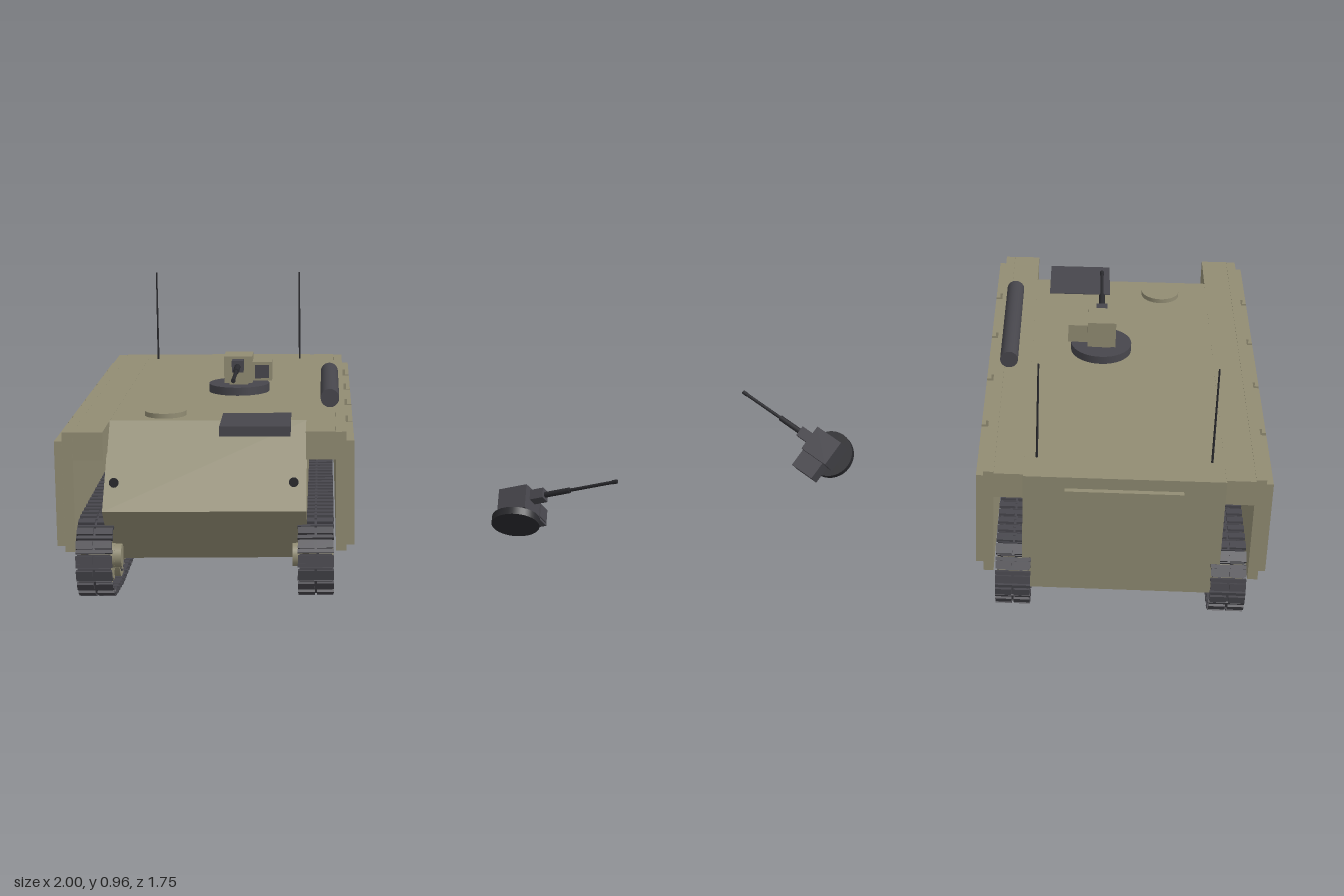
import * as THREE from 'three';
import { mergeGeometries } from 'three/addons/utils/BufferGeometryUtils.js';

const material = (name, color) => {
  const m = new THREE.MeshStandardMaterial({ color });
  m.name = name;
  return m;
};

export function createModel() {
  const tan = material('khaki paint', 0x918c73);
  const steel = material('dark steel', 0x47464c);
  const black = material('black metal', 0x2a2a2e);

  const add = (parent, name, geo, mat, x = 0, y = 0, z = 0) => {
    const mesh = new THREE.Mesh(geo, mat);
    mesh.name = name;
    mesh.position.set(x, y, z);
    parent.add(mesh);
    return mesh;
  };
  const group = (parent, name, x = 0, y = 0, z = 0) => {
    const g = new THREE.Group();
    g.name = name;
    g.position.set(x, y, z);
    parent.add(g);
    return g;
  };
  const box = (w, h, d) => new THREE.BoxGeometry(w, h, d);
  const cylX = (r, w, n = 28) => new THREE.CylinderGeometry(r, r, w, n).rotateZ(Math.PI / 2);
  const cylZ = (r, l, n = 14) => new THREE.CylinderGeometry(r, r, l, n).rotateX(Math.PI / 2);
  // Extrudes a (z, y) outline across x, centred on x = 0
  const extrudeX = (shape, w) => new THREE.ExtrudeGeometry(shape, { depth: w, bevelEnabled: false, curveSegments: 16 })
    .translate(0, 0, -w / 2).rotateY(-Math.PI / 2);
  const circle = (r, cx = 0, cy = 0) => new THREE.Shape().absarc(cx, cy, r, 0, Math.PI * 2, false);

  const root = new THREE.Group();
  root.name = 'trackedCarrier';
  const vehicle = group(root, 'vehicle', -0.5, 0, 0);

  // Hull with wedge nose
  const outline = [[0.65, 0.12], [0.85, 0.335], [0.6, 0.595], [-0.84, 0.595], [-0.82, 0.12]];
  const hullShape = new THREE.Shape(outline.map(([z, y]) => new THREE.Vector2(z, y)));
  add(vehicle, 'hull', extrudeX(hullShape, 0.68), tan);
  add(vehicle, 'rearDoor', box(0.4, 0.38, 0.02), tan, 0, 0.36, -0.838).rotation.x = -0.04;

  // Roof fittings
  add(vehicle, 'roundHatch', new THREE.CylinderGeometry(0.073, 0.073, 0.03, 32), tan, -0.155, 0.597, 0.495);
  add(vehicle, 'driverHatch', box(0.24, 0.035, 0.24), steel, 0.165, 0.58, 0.6);
  add(vehicle, 'stowageTube', cylZ(0.033, 0.57, 24), steel, 0.42, 0.64, 0.145);

  // Road wheel disc with a ring of round holes
  const wheelShape = circle(0.084);
  for (let i = 0; i < 8; i++) {
    const a = (i / 8) * Math.PI * 2;
    wheelShape.holes.push(circle(0.013, Math.cos(a) * 0.046, Math.sin(a) * 0.046));
  }
  const wheelGeo = extrudeX(wheelShape, 0.036);
  const rimShape = circle(0.066);
  rimShape.holes.push(circle(0.061));
  const grooveGeo = extrudeX(rimShape, 0.004);

  // Toothed drive sprocket
  const teeth = [];
  for (let i = 0; i < 13; i++) {
    for (const [f, r] of [[0, 0.092], [0.5, 0.092], [0.62, 0.112], [0.88, 0.112]]) {
      const a = ((i + f) / 13) * Math.PI * 2;
      teeth.push(new THREE.Vector2(Math.cos(a) * r, Math.sin(a) * r));
    }
  }
  const sprocketGeo = extrudeX(new THREE.Shape(teeth), 0.022);

  // Track loop followed by the links, in (z, y)
  const loop = new THREE.Path();
  loop.moveTo(-0.74, 0.28);
  loop.lineTo(0.74, 0.28);
  loop.absarc(0.74, 0.155, 0.125, Math.PI / 2, -Math.PI / 2 - 0.1, true);
  loop.lineTo(0.55, 0.014);
  loop.lineTo(-0.55, 0.014);
  loop.absarc(-0.74, 0.155, 0.125, -Math.PI / 2 + 0.1, -Math.PI * 1.5, true);
  const count = 78;
  const points = loop.getSpacedPoints(count);

  // One link: plate, two outer pads, connecting pins and an inner guide horn (local y points outward)
  const linkGeo = mergeGeometries([
    box(0.11, 0.01, 0.034),
    box(0.056, 0.012, 0.027).translate(-0.032, 0.008, 0),
    box(0.056, 0.012, 0.027).translate(0.032, 0.008, 0),
    box(0.122, 0.012, 0.012).translate(0, 0, 0.021),
    box(0.012, 0.03, 0.014).translate(0, -0.015, 0),
  ]);
  const links = [];
  for (let i = 0; i < count; i++) {
    const a = points[i], b = points[i + 1];
    links.push(linkGeo.clone()
      .rotateX(-Math.atan2(b.y - a.y, b.x - a.x))
      .translate(0, (a.y + b.y) / 2, (a.x + b.x) / 2));
  }
  const trackGeo = mergeGeometries(links);

  for (const s of [-1, 1]) {
    const side = group(vehicle, s > 0 ? 'leftSide' : 'rightSide');

    // Sponson, skirt and five armour panels
    add(side, 'sponson', box(0.1, 0.095, 1.63), tan, s * 0.388, 0.548, -0.015);
    add(side, 'skirt', box(0.035, 0.41, 1.62), tan, s * 0.456, 0.39, -0.01);
    for (let i = -2; i <= 2; i++) {
      add(side, 'armourPanel', box(0.026, 0.36, 0.308), tan, s * 0.487, 0.385, i * 0.322);
      if (i < 2) add(side, 'panelStrip', box(0.012, 0.385, 0.006), tan, s * 0.478, 0.395, (i + 0.5) * 0.322);
    }

    // Track and running gear
    add(side, 'track', trackGeo, steel, s * 0.37, 0, 0);
    for (let i = -2; i <= 2; i++) {
      const wheel = group(side, 'roadWheel', s * 0.37, 0.1, i * 0.253 + 0.004);
      for (const e of [-1, 1]) {
        add(wheel, 'wheelDisc', wheelGeo, tan, e * 0.032);
        add(wheel, 'wheelGroove', grooveGeo, steel, e * 0.05);
        add(wheel, 'wheelHub', cylX(0.025, 0.014, 20), tan, e * 0.054);
      }
      add(wheel, 'wheelCore', cylX(0.066, 0.024), steel);
      add(wheel, 'axle', cylX(0.016, 0.1, 12), steel, -s * 0.05);
    }
    const sprocket = group(side, 'driveSprocket', s * 0.37, 0.155, 0.74);
    const idler = group(side, 'idlerWheel', s * 0.37, 0.155, -0.74);
    for (const e of [-1, 1]) {
      add(sprocket, 'toothedRing', sprocketGeo, tan, e * 0.034);
      add(sprocket, 'sprocketHub', cylX(0.042, 0.014), tan, e * 0.05);
      add(idler, 'idlerDisc', cylX(0.095, 0.03), tan, e * 0.034);
      add(idler, 'idlerHub', cylX(0.025, 0.014), tan, e * 0.053);
    }
    add(sprocket, 'sprocketAxle', cylX(0.04, 0.12), tan, -s * 0.02);
    add(idler, 'idlerAxle', cylX(0.04, 0.12), tan, -s * 0.02);

    // Headlamp and whip aerial
    add(side, 'headlamp', cylZ(0.016, 0.006, 20), black, s * 0.298, 0.435, 0.85);
    add(side, 'aerial', new THREE.CylinderGeometry(0.003, 0.004, 0.37, 8), black, s * 0.297, 0.775, -0.72);
  }

  // Remote weapon station, standing on its local origin and aiming along +z
  const weaponStation = (parent, name, radius, bodyMat, baseMat) => {
    const g = group(parent, name);
    add(g, 'turntable', new THREE.CylinderGeometry(radius, radius, 0.03, 36), baseMat, 0, 0.015, 0);
    add(g, 'pedestal', box(0.07, 0.02, 0.08), bodyMat, 0, 0.037, 0);
    add(g, 'gunHousing', box(0.105, 0.1, 0.12), bodyMat, 0, 0.09, 0.005);
    add(g, 'sightBox', box(0.072, 0.07, 0.1), bodyMat, 0.089, 0.083, 0.015);
    add(g, 'sightWindow', box(0.052, 0.05, 0.006), steel, 0.089, 0.083, 0.066);
    add(g, 'gunMantlet', box(0.042, 0.042, 0.06), steel, 0, 0.11, 0.09);
    add(g, 'barrelJacket', cylZ(0.011, 0.11), black, 0, 0.11, 0.17);
    add(g, 'barrel', cylZ(0.0065, 0.2), black, 0, 0.11, 0.32);
    add(g, 'muzzle', cylZ(0.008, 0.02), black, 0, 0.11, 0.412);
    return g;
  };
  weaponStation(vehicle, 'weaponStation', 0.113, tan, steel).position.set(0.08, 0.597, 0.035);

  // Spare weapon station lying tilted beside the vehicle
  const spare = weaponStation(root, 'spareWeaponStation', 0.092, steel, black);
  const aim = new THREE.Vector3(0.827, 0.288, 0.486).normalize();
  const across = new THREE.Vector3(0.133, 0.737, -0.663).cross(aim).normalize();
  const up = aim.clone().cross(across);
  spare.quaternion.setFromRotationMatrix(new THREE.Matrix4().makeBasis(across, up, aim));
  spare.position.set(0.632, 0.07, 0.045);

  return root;
}
